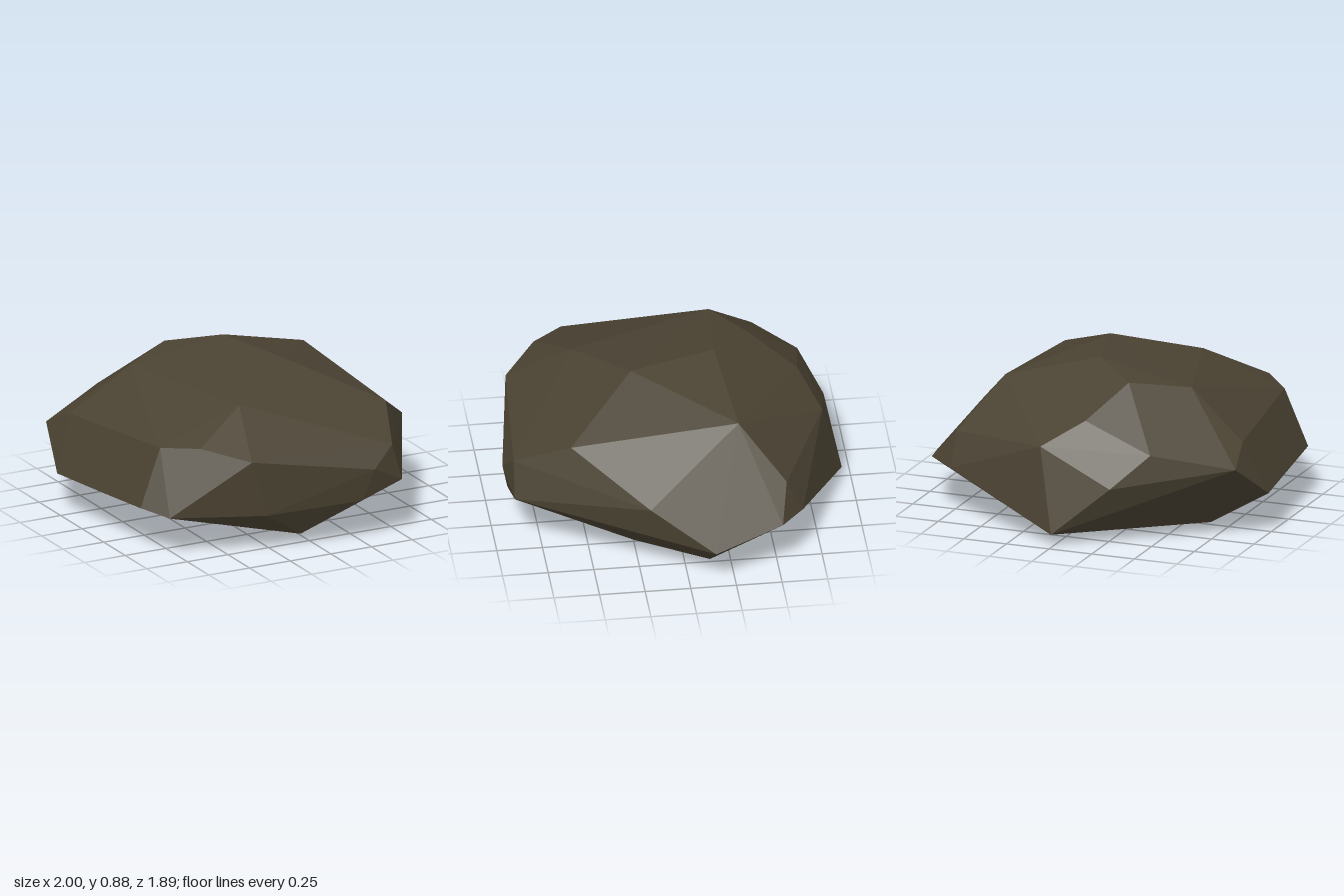
import * as THREE from 'three';
import { ConvexGeometry } from 'three/addons/geometries/ConvexGeometry.js';

// Corners of the boulder, grouped in rough rings from the base up
const base = [
  [0.06, 0, 0.06], [0.8, 0.05, -0.13], [0.55, 0.04, 0.25],
  [-0.07, 0.06, 0.78], [-0.69, 0.05, -0.36], [0.01, 0.065, -0.95],
];
const girth = [
  [1, 0.21, -0.14], [0.49, 0.32, 0.9], [0.3, 0.42, 0.945], [0.24, 0.24, 0.91],
  [-0.31, 0.22, 0.84], [-0.81, 0.23, 0.66], [-0.91, 0.26, 0.51], [-1, 0.23, -0.29],
  [-0.31, 0.34, -0.89], [0.72, 0.28, -0.65], [0.88, 0.29, -0.52],
];
const shoulder = [
  [0.86, 0.43, 0.2], [0.43, 0.53, 0.9], [-0.4, 0.54, 0.84], [-0.58, 0.41, 0.75],
  [-0.62, 0.6, 0.66], [-0.78, 0.58, 0.49], [-0.88, 0.53, -0.37], [-0.92, 0.43, -0.57],
  [-0.5, 0.52, -0.77], [0.12, 0.52, -0.83], [0.72, 0.465, -0.56],
];
const crown = [
  [0.55, 0.67, 0.6], [-0.3, 0.75, 0.5], [0.13, 0.865, 0.22], [0, 0.88, -0.25],
  [0.53, 0.74, -0.32], [-0.25, 0.82, -0.46], [-0.55, 0.78, -0.29], [-0.1, 0.66, -0.72],
];

export function createModel() {
  const group = new THREE.Group();
  group.name = 'rock';
  const stone = new THREE.MeshStandardMaterial({ color: 0x4a4232 });
  stone.name = 'dark brown stone';

  // Faceted boulder wrapped around the corner rings
  const corners = [...base, ...girth, ...shoulder, ...crown].map((p) => new THREE.Vector3(...p));
  const boulder = new THREE.Mesh(new ConvexGeometry(corners), stone);
  boulder.name = 'boulder';
  group.add(boulder);
  return group;
}
